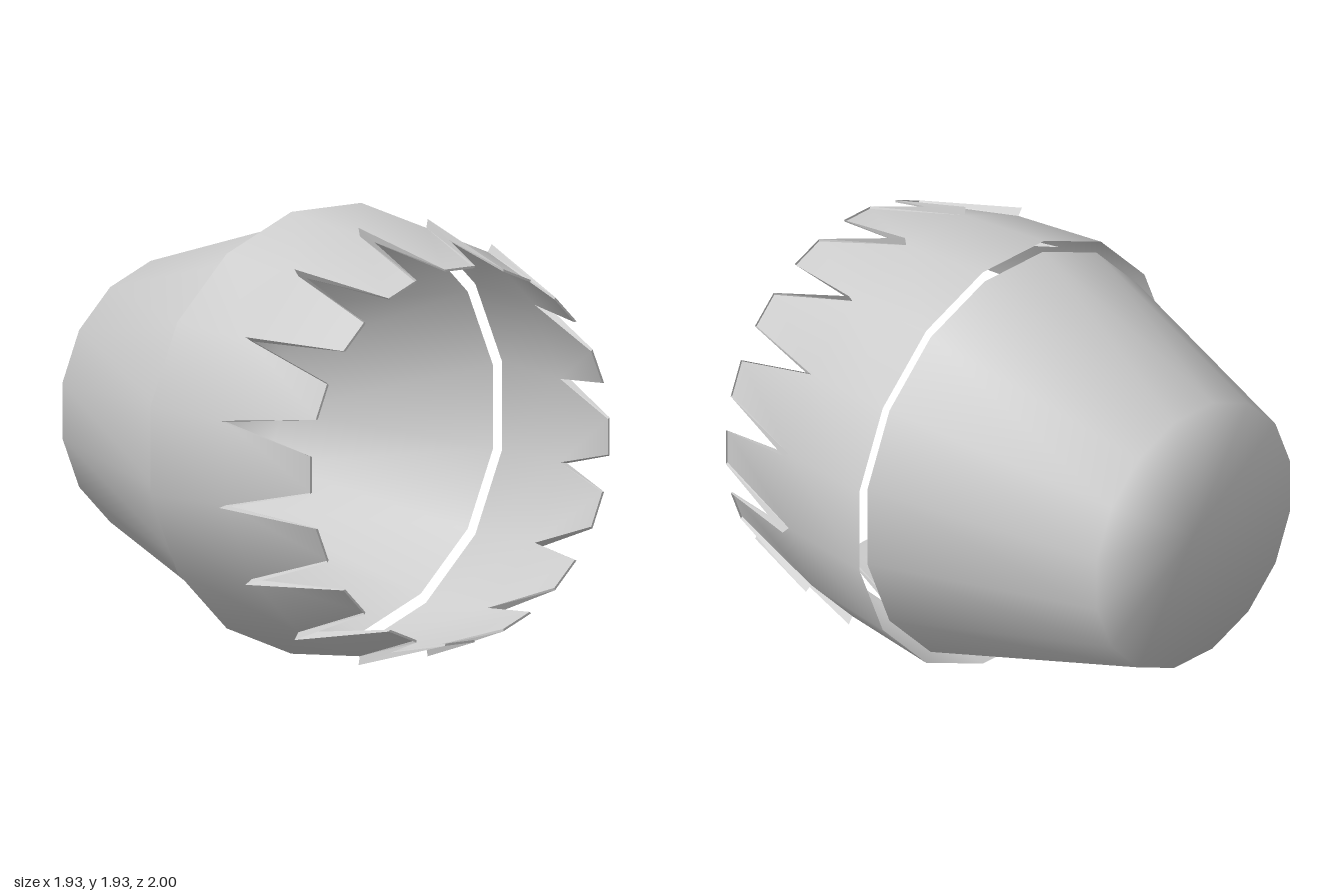
import * as THREE from 'three';
import { mergeVertices } from 'three/addons/utils/BufferGeometryUtils.js';

const SIDES = 16;
const CENTER_Y = 0.965;
const HALF_TAN = Math.tan(Math.PI / SIDES);

// Point on side k: apothem r, sideways offset t along the side, depth z
function point(k, r, t, z) {
  const a = (k / SIDES) * Math.PI * 2;
  return [
    r * Math.cos(a) - t * Math.sin(a),
    CENTER_Y + r * Math.sin(a) + t * Math.cos(a),
    z,
  ];
}

// Cross-section edge of one side: [-t corner, +t corner]
function edge(k, r, z, half = r * HALF_TAN) {
  return [point(k, r, -half, z), point(k, r, half, z)];
}

function addTriangle(out, a, b, c) {
  out.push(...a, ...b, ...c);
}

function addQuad(out, a, b, c, d) {
  addTriangle(out, a, b, c);
  addTriangle(out, a, c, d);
}

// Outward-facing panel from a back edge to a front edge
function addPanel(out, back, front) {
  addQuad(out, back[0], back[1], front[1], front[0]);
}

function makeMesh(name, positions, smooth) {
  let geometry = new THREE.BufferGeometry();
  geometry.setAttribute('position', new THREE.Float32BufferAttribute(positions, 3));
  if (smooth) geometry = mergeVertices(geometry, 1e-4);
  geometry.computeVertexNormals();
  const material = new THREE.MeshStandardMaterial({ color: 0xcccccc, side: THREE.DoubleSide });
  const mesh = new THREE.Mesh(geometry, material);
  mesh.name = name;
  return mesh;
}

export function createModel() {
  const cone = [];
  const collar = [];
  const rims = [];

  for (let k = 0; k < SIDES; k++) {
    // Tapered cup with a closed, softly shaded back
    const coneBack = edge(k, 0.605, -1);
    addPanel(cone, coneBack, edge(k, 0.915, 0.07));
    addTriangle(cone, [0, CENTER_Y, -1], coneBack[1], coneBack[0]);

    // Wide collar, then one narrowing petal per side
    const root = edge(k, 0.917, 0.535);
    const tip = edge(k, 0.812, 1, 0.078);
    addPanel(collar, edge(k, 0.965, 0.07), root);
    addPanel(collar, root, tip);

    // Raised rims along the petal's sides and tip
    const rootOuter = edge(k, 0.955, 0.535);
    const tipOuter = edge(k, 0.822, 1, 0.083);
    addQuad(rims, root[1], rootOuter[1], tipOuter[1], tip[1]);
    addQuad(rims, root[0], tip[0], tipOuter[0], rootOuter[0]);
    addQuad(rims, tip[0], tip[1], tipOuter[1], tipOuter[0]);
  }

  const group = new THREE.Group();
  group.name = 'nozzle';
  group.add(
    makeMesh('taperedCup', cone, true),
    makeMesh('petalCollar', collar, true),
    makeMesh('petalRims', rims, false),
  );
  return group;
}
